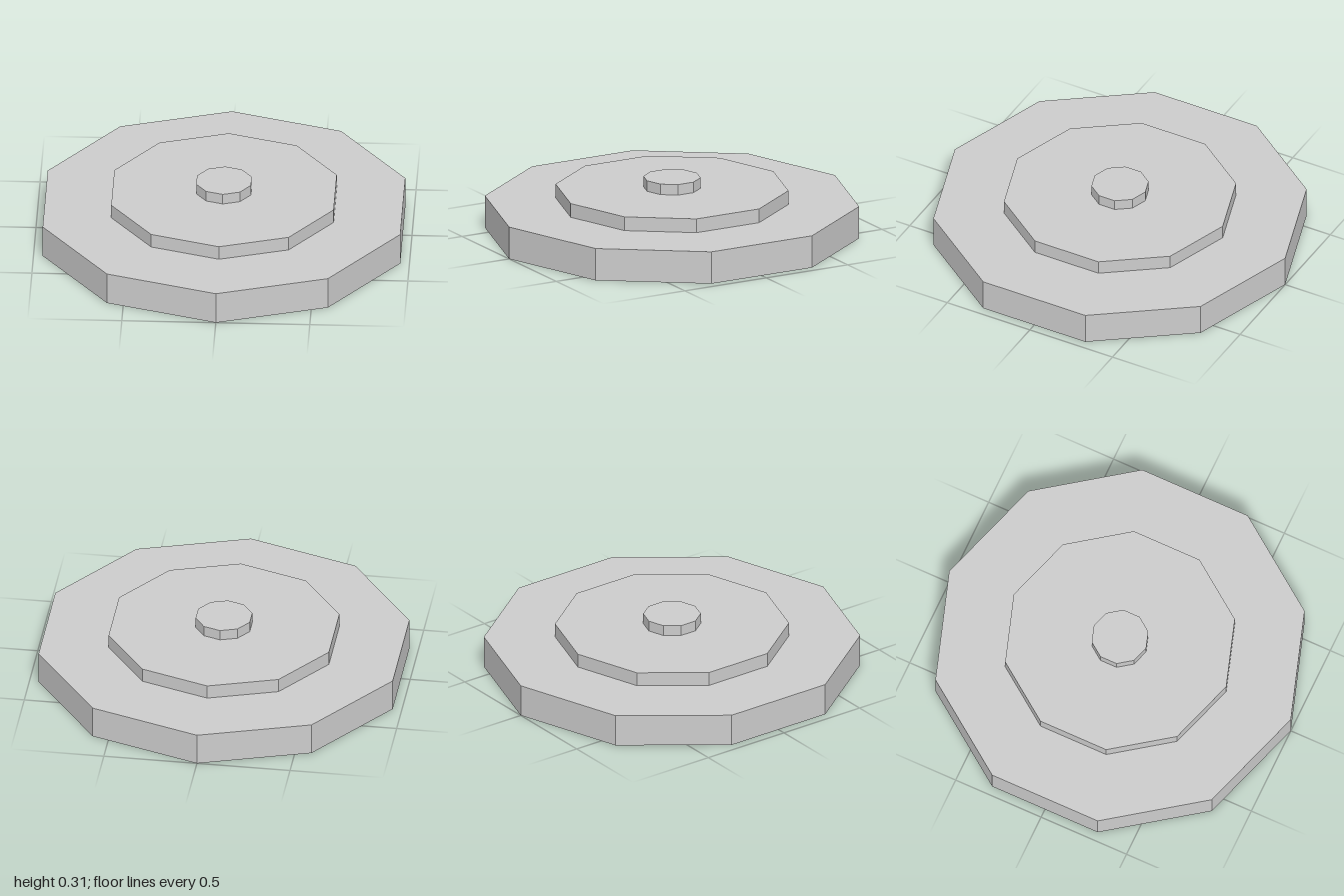
import * as THREE from 'three';

const SIDES = 10;

export function createModel() {
  const model = new THREE.Group();
  model.name = 'steppedDisc';

  const grey = new THREE.MeshStandardMaterial({ color: 0xcccccc, flatShading: true });
  grey.name = 'light grey';

  // Ten-sided tiers stacked from the ground up, a corner facing the front
  const tiers = [
    { name: 'base', radius: 1, height: 0.176 },
    { name: 'middleStep', radius: 0.622, height: 0.076 },
    { name: 'topButton', radius: 0.153, height: 0.058 },
  ];

  let y = 0;
  for (const { name, radius, height } of tiers) {
    const tier = new THREE.Mesh(new THREE.CylinderGeometry(radius, radius, height, SIDES), grey);
    tier.name = name;
    tier.position.y = y + height / 2;
    model.add(tier);
    y += height;
  }
  return model;
}
